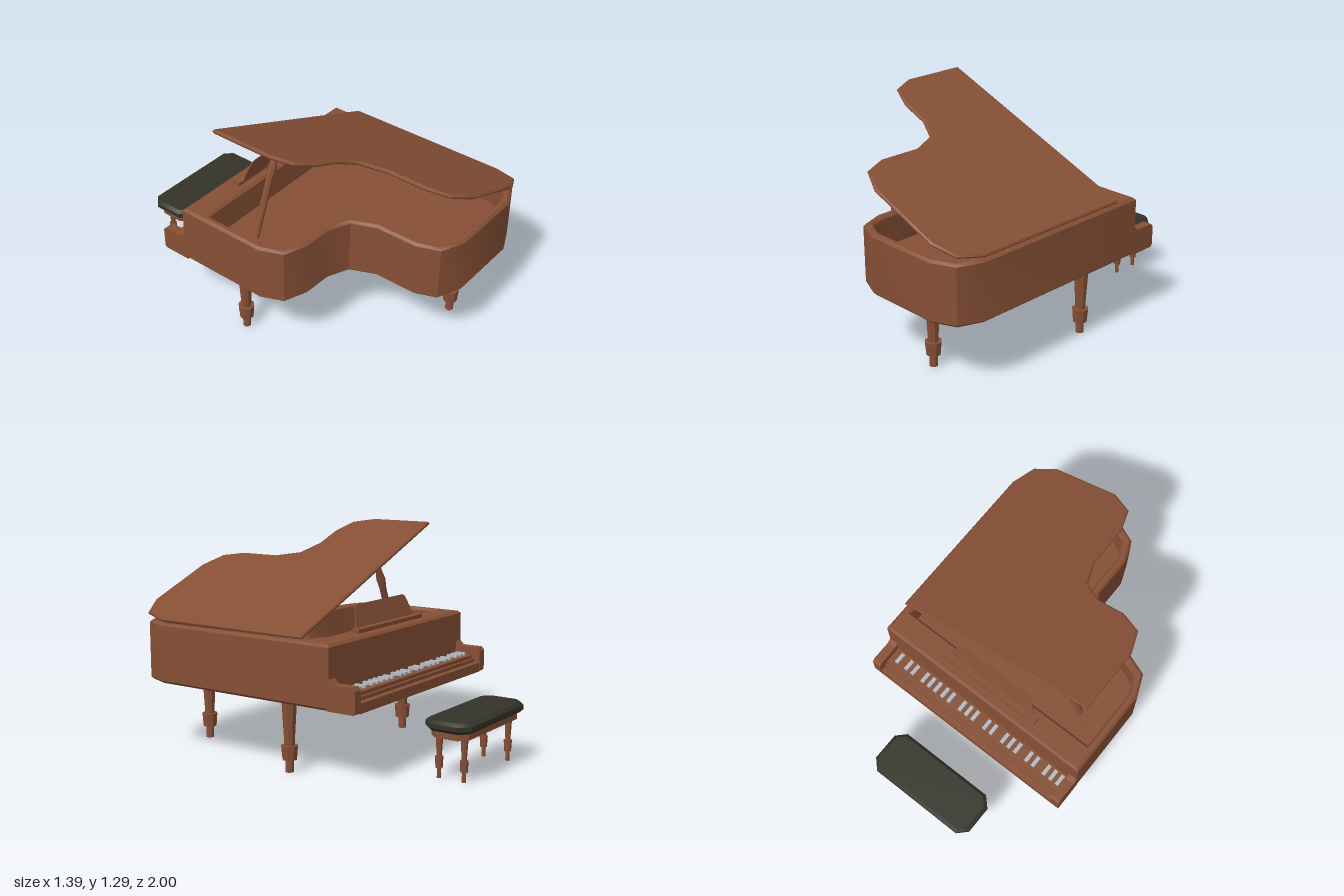
import * as THREE from 'three';
import { toCreasedNormals } from 'three/addons/utils/BufferGeometryUtils.js';

const mat = (name, color) => {
  const m = new THREE.MeshStandardMaterial({ color });
  m.name = name;
  return m;
};

// Case outline in (x, z), with an adjustable straight front edge
const outline = (front) => [
  [-0.69, front], [-0.69, 0.18], [-0.635, 0.31], [-0.5, 0.36], [-0.33, 0.365],
  [-0.2, 0.42], [-0.14, 0.56], [-0.14, 0.81], [-0.09, 0.94], [0.05, 1],
  [0.5, 1], [0.635, 0.94], [0.69, 0.8], [0.69, front],
];

// Offset an outline inwards by d with mitred corners
function inset(pts, d) {
  const normal = (a, b) => {
    const l = Math.hypot(b[0] - a[0], b[1] - a[1]);
    return [(b[1] - a[1]) / l, -(b[0] - a[0]) / l];
  };
  return pts.map((p, i) => {
    const n = pts.length;
    const u = normal(pts[(i + n - 1) % n], p);
    const v = normal(p, pts[(i + 1) % n]);
    const k = d / (1 + u[0] * v[0] + u[1] * v[1]);
    return [p[0] + k * (u[0] + v[0]), p[1] + k * (u[1] + v[1])];
  });
}

// Horizontal plate from an (x, z) outline, bevelled, with an optional hole
function slab(pts, y0, y1, bevel, hole) {
  const v = (list) => list.map(([x, z]) => new THREE.Vector2(x, -z));
  const shape = new THREE.Shape(v(pts));
  if (hole) shape.holes.push(new THREE.Path(v(hole)));
  const geo = new THREE.ExtrudeGeometry(shape, {
    depth: y1 - y0 - 2 * bevel, bevelEnabled: bevel > 0, bevelThickness: bevel,
    bevelSize: bevel, bevelOffset: -bevel, bevelSegments: 1,
  });
  geo.rotateX(-Math.PI / 2).translate(0, y0 + bevel, 0);
  return toCreasedNormals(geo, 0.75);
}

// Faceted turned part from [radius, height] pairs, listed upwards
function turned(profile, sides = 8) {
  const geo = new THREE.LatheGeometry(profile.map(([r, y]) => new THREE.Vector2(r, y)), sides);
  geo.rotateY(Math.PI / sides);
  return toCreasedNormals(geo, 0.4);
}

// Tapered leg with a block above a thin foot
const legGeometry = (s, foot, block, top) => turned([
  [0, 0], [0.024 * s, 0], [0.024 * s, foot], [0.041 * s, foot], [0.048 * s, block],
  [0.029 * s, block], [0.044 * s, top], [0, top],
]);

export function createModel() {
  const model = new THREE.Group();
  model.name = 'grandPianoWithBench';
  const wood = mat('brownWood', 0x864f35);
  const keyMat = mat('silverGrey', 0xb4b8c0);
  const leather = mat('blackLeather', 0x333329);

  const add = (parent, name, geo, material, x = 0, y = 0, z = 0) => {
    const mesh = new THREE.Mesh(geo, material);
    mesh.name = name;
    mesh.position.set(x, y, z);
    parent.add(mesh);
    return mesh;
  };
  const box = (parent, name, material, x0, x1, y0, y1, z0, z1) =>
    add(parent, name, new THREE.BoxGeometry(x1 - x0, y1 - y0, z1 - z0), material,
      (x0 + x1) / 2, (y0 + y1) / 2, (z0 + z1) / 2);

  const piano = new THREE.Group();
  piano.name = 'piano';
  model.add(piano);

  // Case: open rim and the soundboard that closes it
  add(piano, 'rim', slab(outline(-0.375), 0.405, 0.755, 0.014, inset(outline(-0.27), 0.05)), wood);
  add(piano, 'soundboard', slab(inset(outline(-0.25), 0.03), 0.406, 0.58, 0), wood);

  // Keyboard cheeks
  const cheek = new THREE.Shape([
    [0.36, 0.405], [0.528, 0.405], [0.54, 0.417], [0.54, 0.532], [0.524, 0.55],
    [0.4, 0.55], [0.375, 0.575], [0.36, 0.575],
  ].map(([x, y]) => new THREE.Vector2(x, y)));
  for (const x of [-0.69, 0.635]) {
    const geo = new THREE.ExtrudeGeometry(cheek, { depth: 0.055, bevelEnabled: false });
    add(piano, 'keyboardCheek', geo.rotateY(Math.PI / 2), wood, x);
  }

  // Stepped key bed
  box(piano, 'keySlip', wood, -0.64, 0.64, 0.405, 0.46, -0.538, -0.37);
  box(piano, 'keyBedStep', wood, -0.64, 0.64, 0.45, 0.48, -0.502, -0.37);
  box(piano, 'keyBed', wood, -0.64, 0.64, 0.47, 0.5, -0.485, -0.37);

  // Raised keys in alternating groups of three and two
  const groups = [[-0.61, 3], [-0.435, 2], [-0.305, 3], [-0.125, 2], [0.01, 3],
    [0.19, 2], [0.292, 3], [0.465, 2], [0.583, 1]];
  for (const [start, count] of groups) {
    for (let i = 0; i < count; i++) {
      const x = start + i * 0.048;
      box(piano, 'raisedKey', keyMat, x - 0.011, x + 0.011, 0.495, 0.515, -0.455, -0.388);
    }
  }

  // Music desk, leaning back on its ledge
  box(piano, 'deskLedge', wood, -0.335, 0.325, 0.75, 0.777, -0.313, -0.27);
  const deskShape = new THREE.Shape([
    [-0.312, 0], [-0.295, 0.02], [-0.265, 0.105], [-0.253, 0.122], [-0.235, 0.13],
    [0.225, 0.13], [0.243, 0.122], [0.257, 0.105], [0.287, 0.02], [0.305, 0],
  ].map(([x, y]) => new THREE.Vector2(x, y)));
  const desk = add(piano, 'musicDesk',
    new THREE.ExtrudeGeometry(deskShape, { depth: 0.005, bevelEnabled: false }), wood, 0, 0.773, -0.275);
  desk.rotation.x = 0.28;

  // Lid: hinged on the straight side, with two prop cups beneath
  const lid = new THREE.Group();
  lid.name = 'lid';
  lid.position.set(0.685, 0.765, 0);
  lid.rotation.z = -0.379;
  piano.add(lid);
  add(lid, 'lidPanel', slab(outline(-0.205), 0, 0.024, 0.008), wood, -0.685);
  for (const x of [-1.275, -1.155]) {
    box(lid, 'propCup', wood, x - 0.052, x + 0.052, -0.016, 0.001, -0.075, -0.015);
  }

  // Lid prop, swelling at the middle
  const prop = add(piano, 'lidProp', turned([
    [0, 0], [0.021, 0], [0.021, 0.36], [0.028, 0.42], [0.017, 0.48], [0.017, 0.6], [0, 0.6],
  ]), wood, -0.46, 0.575, -0.045);
  prop.rotation.z = -0.381;

  // Piano legs
  const pianoLeg = legGeometry(1, 0.07, 0.15, 0.41);
  for (const [x, z] of [[-0.565, -0.04], [0.59, -0.04], [0.29, 0.8]]) {
    add(piano, 'pianoLeg', pianoLeg, wood, x, 0, z);
  }

  // Bench: cushion, apron and four legs
  const bench = new THREE.Group();
  bench.name = 'bench';
  bench.position.set(-0.005, 0, -0.86);
  model.add(bench);
  const cut = (w, d, c) => [
    [-w, -d + c], [-w, d - c], [-w + c, d], [w - c, d],
    [w, d - c], [w, -d + c], [w - c, -d], [-w + c, -d],
  ];
  add(bench, 'cushion', slab(cut(0.353, 0.14, 0.055), 0.288, 0.348, 0.018), leather);
  add(bench, 'apron', slab(cut(0.323, 0.112, 0.045), 0.25, 0.292, 0), wood);
  const benchLeg = legGeometry(0.48, 0.055, 0.12, 0.245);
  for (const x of [-0.25, 0.25]) {
    for (const z of [-0.072, 0.08]) add(bench, 'benchLeg', benchLeg, wood, x, 0.01, z);
  }
  return model;
}
